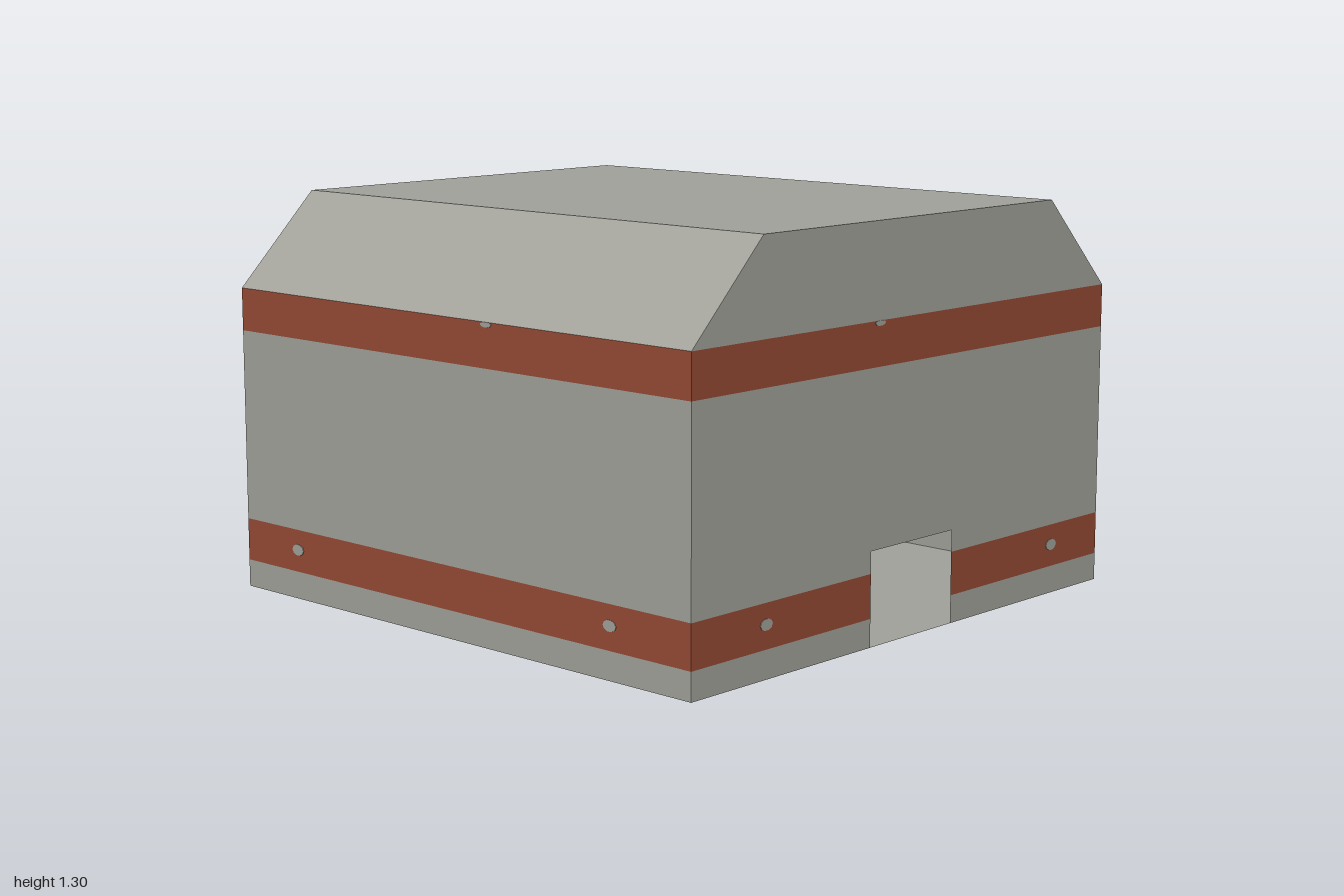
import * as THREE from 'three';

const concrete = new THREE.MeshStandardMaterial({ color: 0xa3a39c, side: THREE.DoubleSide });
concrete.name = 'concrete grey';
const rust = new THREE.MeshStandardMaterial({ color: 0x964a35, side: THREE.DoubleSide });
rust.name = 'rust red';

const WALL_TOP = 1, ROOF_TOP = 1.3, RIDGE = 0.7;
// Height levels of the wall strips; the painted bands are the red ones
const STRIPS = [
  [0, 0.09, concrete], [0.09, 0.23, rust], [0.23, 0.3, concrete],
  [0.3, 0.86, concrete], [0.86, WALL_TOP, rust],
];
// Chipped paint: position along the wall, height, half width, half height
const CHIPS = [[-0.68, 0.165, 0.027, 0.018], [0.74, 0.163, 0.028, 0.019], [-0.17, 0.993, 0.024, 0.009]];

function add(parent, name, geometry, material) {
  const mesh = new THREE.Mesh(geometry, material);
  mesh.name = name;
  parent.add(mesh);
  return mesh;
}

function flat(points) {
  return new THREE.ShapeGeometry(new THREE.Shape(points.map(([x, y]) => new THREE.Vector2(x, y))));
}

// Four corners, counter-clockwise seen from outside
function quad(a, b, c, d) {
  const g = new THREE.BufferGeometry();
  g.setAttribute('position', new THREE.Float32BufferAttribute([a, b, c, a, c, d].flat(), 3));
  g.computeVertexNormals();
  return g;
}

// A wall of strips; gap(stripBase, y) is the half width of its central opening
function wall(name, gap) {
  const group = new THREE.Group();
  group.name = name;
  for (const [lo, hi, material] of STRIPS) {
    const a = gap(lo, lo), b = gap(lo, hi);
    const label = material === rust ? 'paintedBand' : 'wallPanel';
    if (a === 0 && b === 0) {
      add(group, label, flat([[-1, lo], [1, lo], [1, hi], [-1, hi]]), material);
      continue;
    }
    add(group, label, flat([[a, lo], [1, lo], [1, hi], [b, hi]]), material);
    add(group, label, flat([[-1, lo], [-a, lo], [-b, hi], [-1, hi]]), material);
  }
  // Thin chips showing on both faces, trimmed at the opening
  for (const [u, y, rx, ry] of CHIPS) {
    if (Math.abs(u) + rx <= gap(y, y)) continue;
    const points = [];
    for (let i = 0; i < 10; i++) {
      const t = (i / 10) * Math.PI * 2;
      const py = Math.min(y + ry * Math.sin(t), WALL_TOP);
      const px = u + rx * Math.cos(t);
      points.push(new THREE.Vector2(Math.sign(u) * Math.max(Math.abs(px), gap(py, py)), py));
    }
    const plate = new THREE.ExtrudeGeometry(new THREE.Shape(points), { depth: 0.004, bevelEnabled: false });
    add(group, 'paintChip', plate.translate(0, 0, -0.002), concrete);
  }
  return group;
}

export function createModel() {
  const model = new THREE.Group();
  model.name = 'bunker';

  // Walls: doorway in front, wide tapered opening at the back
  const front = wall('frontWall', (base) => (base < 0.3 ? 0.2 : 0));
  front.position.z = 1;
  const back = wall('backWall', (base, y) => RIDGE + 0.3 * y);
  back.position.z = -1;
  back.rotation.y = Math.PI;
  model.add(front, back);
  for (const [name, x] of [['leftWall', 1], ['rightWall', -1]]) {
    const side = wall(name, () => 0);
    side.position.x = x;
    side.rotation.y = Math.PI / 2;
    model.add(side);
  }

  // Floor
  add(model, 'floor', quad([-1, 0, 1], [1, 0, 1], [1, 0, -1], [-1, 0, -1]), concrete);

  // Hollow roof: flat top, two slopes and two gables
  const roof = new THREE.Group();
  roof.name = 'roof';
  model.add(roof);
  const W = WALL_TOP, T = ROOF_TOP, R = RIDGE;
  add(roof, 'roofTop', quad([-R, T, 1], [R, T, 1], [R, T, -1], [-R, T, -1]), concrete);
  add(roof, 'leftSlope', quad([1, W, 1], [1, W, -1], [R, T, -1], [R, T, 1]), concrete);
  add(roof, 'rightSlope', quad([-1, W, -1], [-1, W, 1], [-R, T, 1], [-R, T, -1]), concrete);
  for (const z of [1, -1]) {
    const gable = add(roof, z > 0 ? 'frontGable' : 'backGable', flat([[-1, W], [1, W], [R, T], [-R, T]]), concrete);
    gable.position.z = z;
    if (z < 0) gable.rotation.y = Math.PI;
  }
  return model;
}
